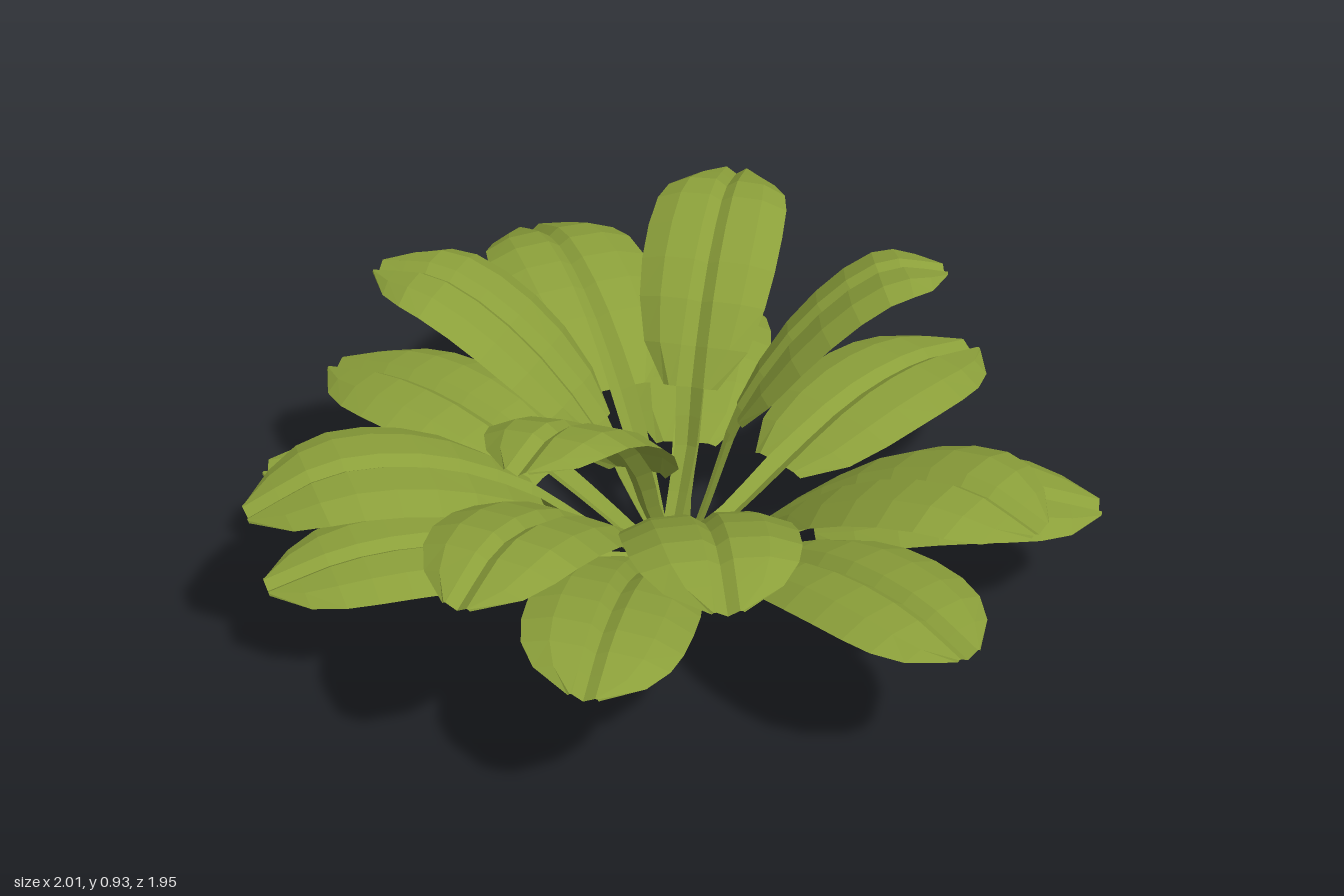
import * as THREE from 'three';

// Midrib profiles: [distance / tip distance, height / tip height], blade starts at the fourth point
const PROFILES = {
  steep: [[-0.08, 0.02], [0.05, 0.21], [0.19, 0.46], [0.25, 0.63], [0.48, 0.9], [0.78, 1.035], [1, 1]],
  high: [[-0.08, 0.02], [0.06, 0.23], [0.17, 0.46], [0.24, 0.61], [0.5, 0.88], [0.78, 1.02], [1, 1]],
  upper: [[-0.12, 0.05], [0.01, 0.2], [0.18, 0.42], [0.32, 0.65], [0.57, 0.95], [0.82, 1.07], [1, 1]],
  middle: [[-0.15, 0.1], [0, 0.27], [0.18, 0.53], [0.33, 0.82], [0.56, 1.08], [0.8, 1.15], [1, 1]],
  lower: [[-0.17, 0.12], [0, 0.28], [0.18, 0.54], [0.33, 0.77], [0.57, 1.0], [0.82, 1.07], [1, 1]],
  low: [[-0.21, 0.32], [0, 0.45], [0.18, 0.64], [0.33, 0.85], [0.58, 1.12], [0.8, 1.15], [1, 1]],
};

// Leaves: profile, tip x, y, z, half width of blade, roll about the midrib
const LEAVES = [
  ['high', 0.61, 0.905, -0.05, 0.17, 0.15],
  ['steep', 0.15, 0.82, -0.7, 0.165, 0],
  ['high', -0.71, 0.8, -0.26, 0.165, 0],
  ['high', -0.35, 0.83, 0.66, 0.175, -0.12],
  ['upper', 0.77, 0.65, 0.63, 0.2, 0],
  ['upper', 0.09, 0.68, 0.96, 0.19, 0],
  ['upper', -0.47, 0.67, 0.92, 0.18, 0],
  ['middle', -0.38, 0.53, -0.93, 0.195, 0],
  ['middle', -0.98, 0.51, 0.35, 0.195, 0],
  ['lower', -0.21, 0.47, 0.97, 0.185, 0.12],
  ['lower', 0.61, 0.45, 0.81, 0.185, 0],
  ['low', 1.0, 0.31, 0.05, 0.19, 0],
  ['low', 0.09, 0.31, -0.97, 0.185, 0],
  ['low', 0.76, 0.31, -0.69, 0.195, 0],
  ['low', -1.0, 0.31, -0.14, 0.185, 0],
  ['low', -0.87, 0.32, -0.6, 0.19, 0],
  ['low', -0.95, 0.3, 0.34, 0.185, 0],
];

// Blade outline: half-width fraction along the blade
const OUTLINE = [0.4, 0.77, 0.93, 0.99, 1, 0.97, 0.88, 0.66, 0.18];

// Faceted surface from rows of points
function facetGrid(rows) {
  const pos = [];
  const put = (...pts) => pts.forEach((p) => pos.push(p.x, p.y, p.z));
  for (let i = 0; i < rows.length - 1; i++) {
    for (let j = 0; j < rows[i].length - 1; j++) {
      const a = rows[i][j], b = rows[i + 1][j], c = rows[i][j + 1], d = rows[i + 1][j + 1];
      put(a, b, c, b, d, c);
    }
  }
  const geo = new THREE.BufferGeometry();
  geo.setAttribute('position', new THREE.Float32BufferAttribute(pos, 3));
  geo.computeVertexNormals();
  return geo;
}

function makeLeaf([kind, x, y, z, halfWidth, roll], index, material) {
  const ox = -0.015, oz = 0.025;
  const out = new THREE.Vector3(x - ox, 0, z - oz).normalize();
  const across = new THREE.Vector3(0, 1, 0).cross(out);
  // Stems pass either side of the centre so the crown is loose
  const shift = (index % 2 ? 1 : -1) * 0.018;
  const curve = new THREE.CatmullRomCurve3(PROFILES[kind].map(([r, h], k) =>
    new THREE.Vector3(ox + (x - ox) * r, y * h, oz + (z - oz) * r)
      .addScaledVector(across, k < 2 ? shift : 0)));

  // Cross-section given as [sideways, upwards] offsets from the midrib
  const row = (u, section) => {
    const p = curve.getPoint(u);
    const tangent = curve.getTangent(u);
    const side = across.clone().applyAxisAngle(tangent, -roll);
    const up = tangent.clone().cross(side).normalize();
    return section.map(([s, h]) => p.clone().addScaledVector(side, s).addScaledVector(up, h));
  };

  // Stem widens from a narrow root to the blade, then narrows to the tip
  const ribWidth = (u) => (u < 0.5 ? 0.014 + 0.038 * u : 0.041 - 0.016 * u);
  const stemRows = [], leftRows = [], rightRows = [];
  for (let i = 0; i <= 14; i++) {
    const u = i < 6 ? i / 12 : 0.5 + (i - 6) / 16;
    const w = ribWidth(u), deep = -0.65 * w;
    stemRows.push(row(u, [[-w, 0], [0, deep], [w, 0]]));
    if (i < 6) continue;
    // Blade wings arch gently and droop at the rim
    const full = Math.max(halfWidth * OUTLINE[i - 6], w + 0.004);
    const mid = w + (full - w) * 0.55;
    const droop = (full / halfWidth) * 0.03;
    leftRows.push(row(u, [[w, 0], [mid, -droop * 0.1], [full, -droop]]));
    rightRows.push(row(u, [[-full, -droop], [-mid, -droop * 0.1], [-w, 0]]));
  }

  const leaf = new THREE.Group();
  leaf.name = kind + 'Leaf';
  [['stemAndMidrib', stemRows], ['leftBlade', leftRows], ['rightBlade', rightRows]].forEach(([name, rows]) => {
    const mesh = new THREE.Mesh(facetGrid(rows), material);
    mesh.name = name;
    leaf.add(mesh);
  });
  return leaf;
}

export function createModel() {
  const leafGreen = new THREE.MeshStandardMaterial({ color: 0x8b9f3a, side: THREE.DoubleSide });
  leafGreen.name = 'leafGreen';
  const plant = new THREE.Group();
  plant.name = 'leafyPlant';
  LEAVES.forEach((spec, i) => plant.add(makeLeaf(spec, i, leafGreen)));
  return plant;
}
